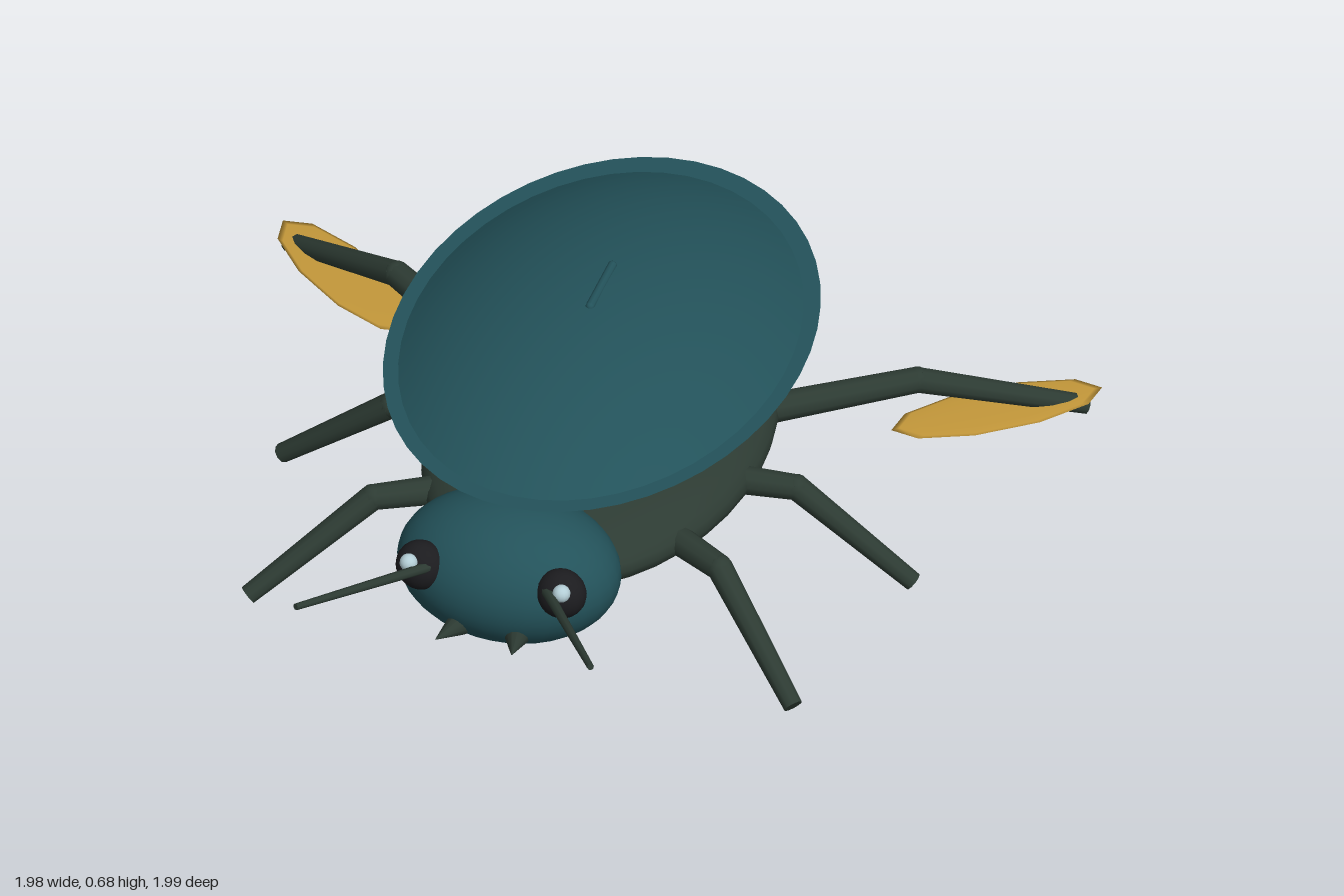
import * as THREE from 'three';

const mat = (name, color, side = THREE.FrontSide) => {
  const m = new THREE.MeshStandardMaterial({ color, side });
  m.name = name;
  return m;
};

export function createModel() {
  const root = new THREE.Group();
  root.name = 'beetle';
  const teal = mat('teal shell', 0x23525a, THREE.DoubleSide);
  const green = mat('dark green body', 0x2d3b33);
  const black = mat('black eye', 0x1c1c1f);
  const pale = mat('pale blue', 0xb4ced6);
  const gold = mat('gold paddle', 0xc4983a);

  const add = (parent, name, geo, material) => {
    const m = new THREE.Mesh(geo, material);
    m.name = name;
    parent.add(m);
    return m;
  };
  const ellipsoid = (parent, name, material, pos, size, ws = 32, hs = 20) => {
    const m = add(parent, name, new THREE.SphereGeometry(1, ws, hs), material);
    m.position.set(...pos);
    m.scale.set(...size);
    return m;
  };
  // Tapered rod from a (radius ra) to b (radius rb)
  const rod = (parent, name, material, a, b, ra, rb, sides = 10) => {
    const A = new THREE.Vector3(...a), B = new THREE.Vector3(...b);
    const d = B.clone().sub(A);
    const m = add(parent, name, new THREE.CylinderGeometry(rb, ra, d.length(), sides), material);
    m.position.copy(A).add(B).multiplyScalar(0.5);
    m.quaternion.setFromUnitVectors(new THREE.Vector3(0, 1, 0), d.normalize());
    return m;
  };

  // Body, head and tail bulb
  ellipsoid(root, 'body', green, [0, 0.252, -0.155], [0.39, 0.123, 0.575], 40, 20);
  ellipsoid(root, 'head', teal, [0, 0.362, 0.51], [0.264, 0.17, 0.196]);
  ellipsoid(root, 'tailBulb', pale, [0, 0.3, -0.822], [0.176, 0.14, 0.176], 20, 14);

  // Raised shell: shallow dome with a flat rim, held on two struts
  const arc = Math.asin(0.605), profile = [];
  for (let i = 0; i <= 14; i++) {
    const t = arc * (1 - i / 14);
    profile.push(new THREE.Vector2(
      Math.sin(t) / Math.sin(arc),
      (Math.cos(t) - Math.cos(arc)) / (1 - Math.cos(arc))));
  }
  const shell = new THREE.Group();
  shell.name = 'shell';
  shell.position.set(0, 0.533, -0.157);
  root.add(shell);
  add(shell, 'shellDome', new THREE.LatheGeometry(profile, 48), teal).scale.set(0.444, 0.148, 0.632);
  const rim = add(shell, 'shellRim', new THREE.RingGeometry(0.98, 1.08, 48).rotateX(-Math.PI / 2), teal);
  rim.scale.set(0.444, 1, 0.632);
  rim.position.z = -0.007;
  const ridge = add(root, 'shellRidge', new THREE.CapsuleGeometry(0.011, 0.16, 4, 10), teal);
  ridge.rotation.x = Math.PI / 2;
  ridge.position.set(0, 0.678, -0.16);
  rod(root, 'frontStrut', teal, [0, 0.57, 0.13], [0, 0.37, 0.33], 0.018, 0.018);
  rod(root, 'rearStrut', teal, [0, 0.57, -0.45], [0, 0.385, -0.635], 0.018, 0.018);

  // Hip, knee and foot of each leg on the left side
  const legs = [
    ['front', [0.2, 0.25, 0.11], [0.42, 0.255, 0.24], [0.66, 0.05, 0.428]],
    ['middle', [0.25, 0.25, -0.085], [0.49, 0.25, -0.108], [0.764, 0.024, -0.133]],
    ['rear', [0.25, 0.25, -0.305], [0.63, 0.26, -0.565], [0.965, 0.105, -0.79]],
  ];
  for (const s of [1, -1]) {
    const side = s > 0 ? 'left' : 'right';
    const mx = ([x, y, z]) => [s * x, y, z];

    for (const [name, hip, knee, foot] of legs) {
      const leg = new THREE.Group();
      leg.name = `${side}${name[0].toUpperCase()}${name.slice(1)}Leg`;
      root.add(leg);
      rod(leg, 'thigh', green, mx(hip), mx(knee), 0.038, 0.031);
      ellipsoid(leg, 'knee', green, mx(knee), [0.031, 0.031, 0.031], 12, 8);
      rod(leg, 'shin', green, mx(knee), mx(foot), 0.031, 0.023);
    }

    // Flat swimming paddle on the rear foot
    const paddle = ellipsoid(root, `${side}Paddle`, gold, mx([0.787, 0.135, -0.672]), [0.255, 0.004, 0.083], 10, 8);
    paddle.rotation.y = s * 0.64;

    // Face
    ellipsoid(root, `${side}Eye`, black, mx([0.17, 0.416, 0.642]), [0.059, 0.061, 0.052], 20, 14);
    ellipsoid(root, `${side}AntennaBase`, pale, mx([0.185, 0.452, 0.687]), [0.021, 0.021, 0.021], 14, 10);
    rod(root, `${side}Antenna`, green, mx([0.13, 0.432, 0.65]), mx([0.357, 0.505, 0.992]), 0.013, 0.008, 8);
    rod(root, `${side}Mandible`, green, mx([0.07, 0.287, 0.665]), mx([0.092, 0.312, 0.77]), 0.03, 0.001, 10);
  }
  return root;
}
